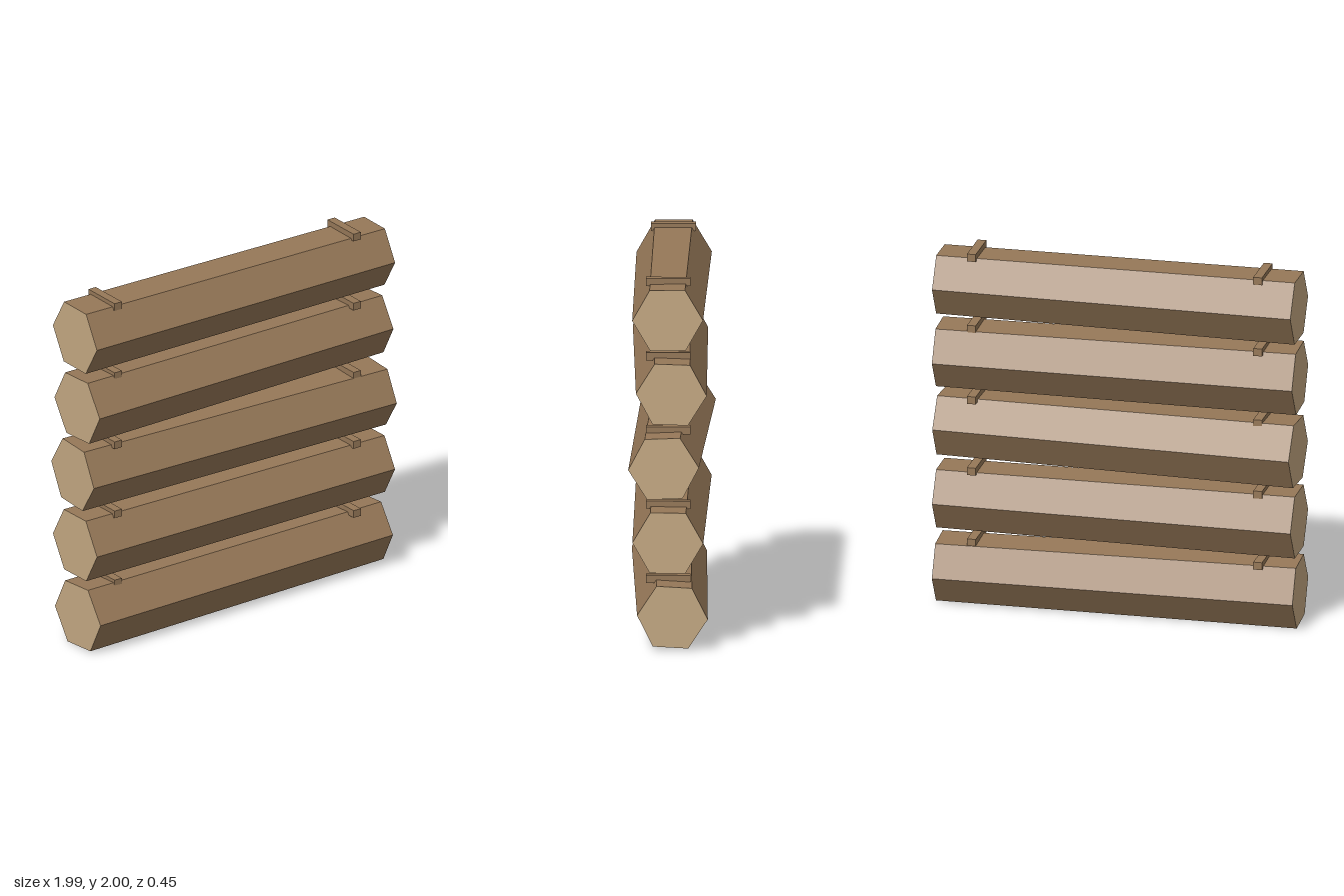
import * as THREE from 'three';

export function createModel() {
  const model = new THREE.Group();
  model.name = 'logWall';

  const bark = new THREE.MeshStandardMaterial({ color: 0x967858 });
  bark.name = 'bark';
  const cutWood = new THREE.MeshStandardMaterial({ color: 0xc4a882 });
  cutWood.name = 'cutWood';

  // Roll about the log's length and slight yaw, from the bottom log up
  const logs = [
    { roll: -0.06, yaw: 0.026 },
    { roll: -0.01, yaw: 0.001 },
    { roll: 0.04, yaw: -0.022 },
    { roll: -0.035, yaw: 0.02 },
    { roll: 0.01, yaw: 0 },
  ];
  const spacing = 0.405;

  logs.forEach(({ roll, yaw }, i) => {
    const course = new THREE.Group();
    course.name = `course${i + 1}`;
    course.position.y = i * spacing;
    model.add(course);

    // Six-sided tapered log with pale cut ends and flat facets
    const geometry = new THREE.CylinderGeometry(0.19, 0.202, 1.98, 6).toNonIndexed();
    geometry.rotateZ(-Math.PI / 2);
    geometry.rotateX(roll);
    geometry.computeVertexNormals();
    const log = new THREE.Mesh(geometry, [bark, cutWood, cutWood]);
    log.name = 'log';
    log.position.y = 0.183;
    log.rotation.y = yaw;
    course.add(log);

    // Small spacer cleats across the top, near both ends
    for (const side of [-1, 1]) {
      const cleat = new THREE.Mesh(new THREE.BoxGeometry(0.048, 0.042, 0.24), bark);
      cleat.name = side > 0 ? 'leftCleat' : 'rightCleat';
      cleat.position.set(side * 0.79, 0.359, 0);
      course.add(cleat);
    }
  });

  return model;
}
